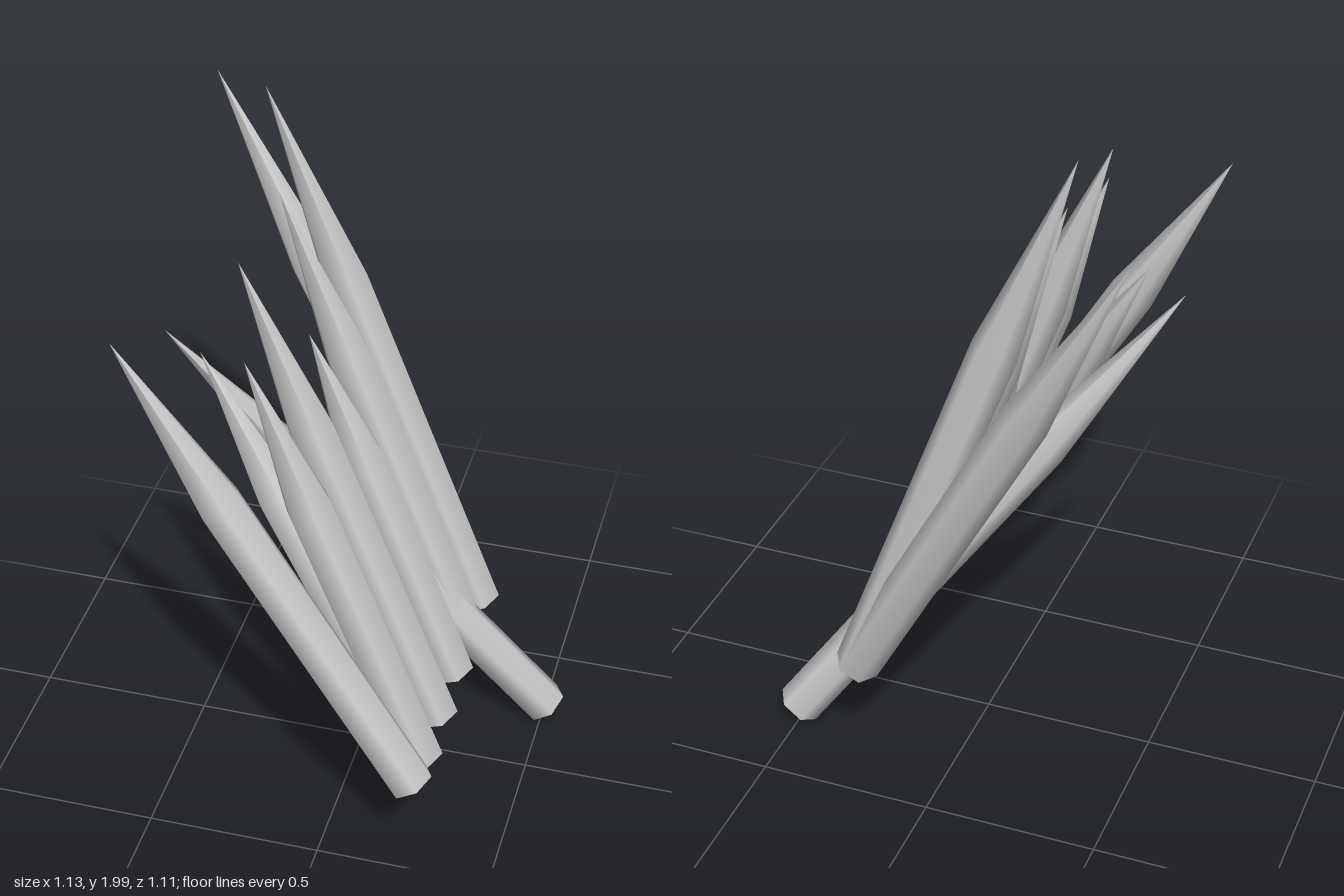
import * as THREE from 'three';

const RADIUS = 0.066;
const SHOULDER = 0.655; // share of the length before the point starts

// Base centre and tip of every spike
const SPIKES = [
  { base: [0.27, 0.33, -0.34], tip: [-0.57, 1.88, -0.56] },
  { base: [0.27, 0.33, -0.34], tip: [-0.345, 2.0, -0.29] },
  { base: [0.27, 0.33, -0.17], tip: [-0.265, 1.78, -0.13] },
  { base: [0.27, 0.33, 0.0], tip: [-0.14, 1.45, 0.03] },
  { base: [0.508, 0.045, -0.245], tip: [-0.52, 1.45, 0.11] },
  { base: [0.27, 0.33, 0.375], tip: [-0.39, 1.46, 0.2] },
  { base: [0.27, 0.33, 0.195], tip: [-0.265, 1.78, 0.235] },
  { base: [0.27, 0.33, 0.375], tip: [-0.2, 1.6, 0.41] },
  { base: [0.27, 0.33, 0.485], tip: [-0.525, 1.66, 0.5] },
];

// Six-sided shaft with a long point, closed by a flat hexagon
function makeSpike(base, tip, material) {
  const start = new THREE.Vector3(...base);
  const axis = new THREE.Vector3(...tip).sub(start);
  const length = axis.length();

  const profile = [
    new THREE.Vector2(RADIUS, 0),
    new THREE.Vector2(RADIUS, length * SHOULDER),
    new THREE.Vector2(0, length),
  ];
  const shaft = new THREE.Mesh(new THREE.LatheGeometry(profile, 6, Math.PI / 6), material);
  shaft.name = 'shaftAndPoint';

  const cap = new THREE.Mesh(new THREE.CircleGeometry(RADIUS, 6).rotateX(Math.PI / 2), material);
  cap.name = 'baseCap';

  const spike = new THREE.Group();
  spike.add(shaft, cap);
  spike.position.copy(start);
  spike.quaternion.setFromUnitVectors(new THREE.Vector3(0, 1, 0), axis.normalize());
  return spike;
}

export function createModel() {
  const model = new THREE.Group();
  model.name = 'spikeCluster';
  const material = new THREE.MeshStandardMaterial({ color: 0xcccccc });
  SPIKES.forEach(({ base, tip }, i) => {
    const spike = makeSpike(base, tip, material);
    spike.name = `spike${i + 1}`;
    model.add(spike);
  });
  return model;
}
